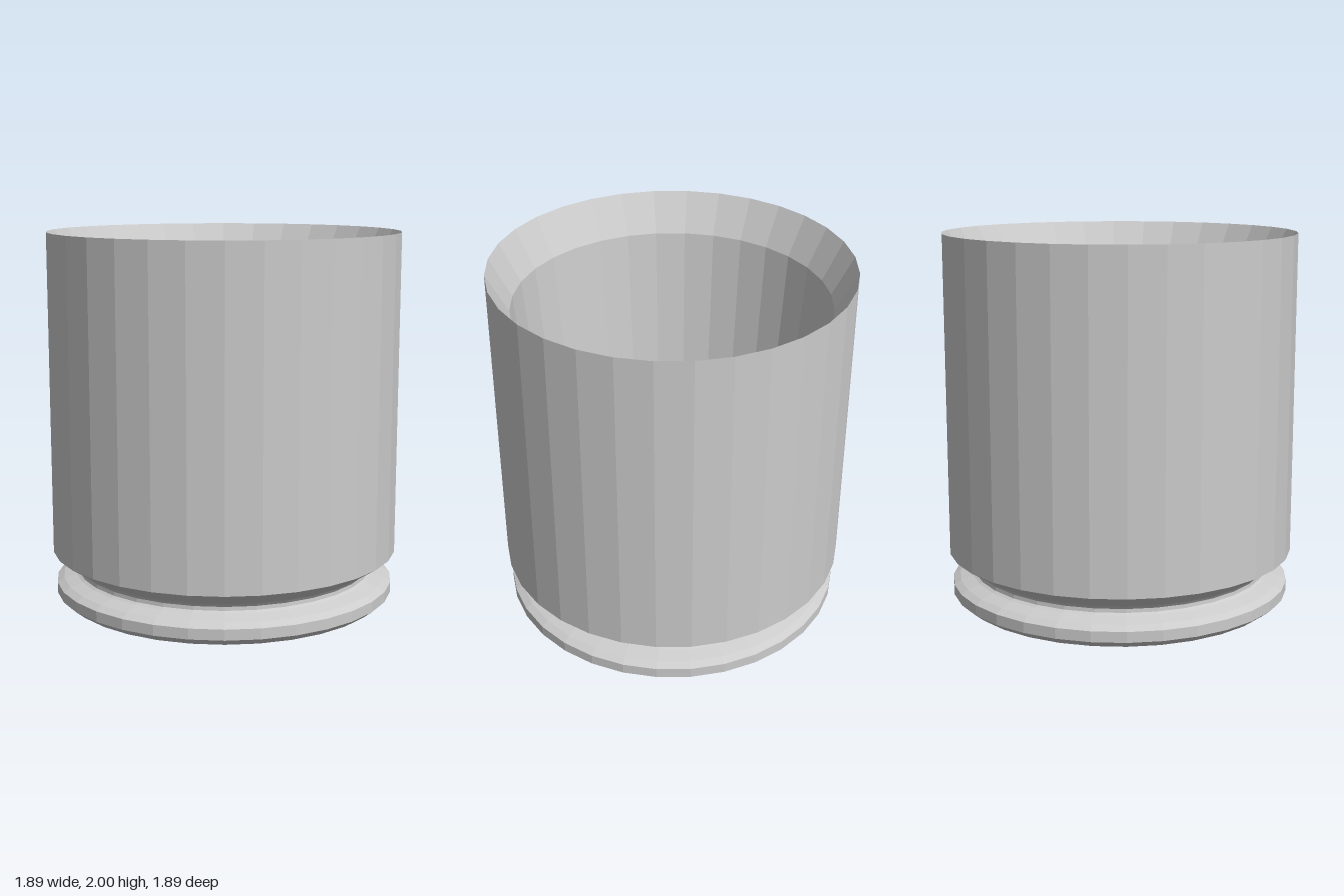
import * as THREE from 'three';

const SIDES = 32;

export function createModel() {
  const model = new THREE.Group();
  const material = new THREE.MeshStandardMaterial({ color: 0xcccccc, flatShading: true });

  // Each part is a ring of the turned shell; profiles run [radius, height]
  const turned = (name, profile) => {
    const points = profile.map(([r, y]) => new THREE.Vector2(r, y));
    const mesh = new THREE.Mesh(new THREE.LatheGeometry(points, SIDES), material);
    mesh.name = name;
    model.add(mesh);
  };

  // Flat underside and bevelled foot rim
  turned('footRim', [[0, 0], [0.88, 0], [0.93, 0.04], [0.93, 0.097], [0.893, 0.12]]);

  // Recessed groove with rounded corners
  turned('groove', [[0.893, 0.12], [0.825, 0.142], [0.81, 0.152], [0.808, 0.172], [0.82, 0.188], [0.84, 0.203]]);

  // Flare and straight outer wall
  turned('outerWall', [[0.84, 0.203], [0.947, 0.272], [0.947, 2]]);

  // Sharp mouth bevel, running inward and down
  turned('mouthBevel', [[0.947, 2], [0.835, 1.79]]);

  // Tapered inner wall and flat floor
  turned('cavity', [[0.835, 1.79], [0.713, 0.3], [0, 0.3]]);

  return model;
}
